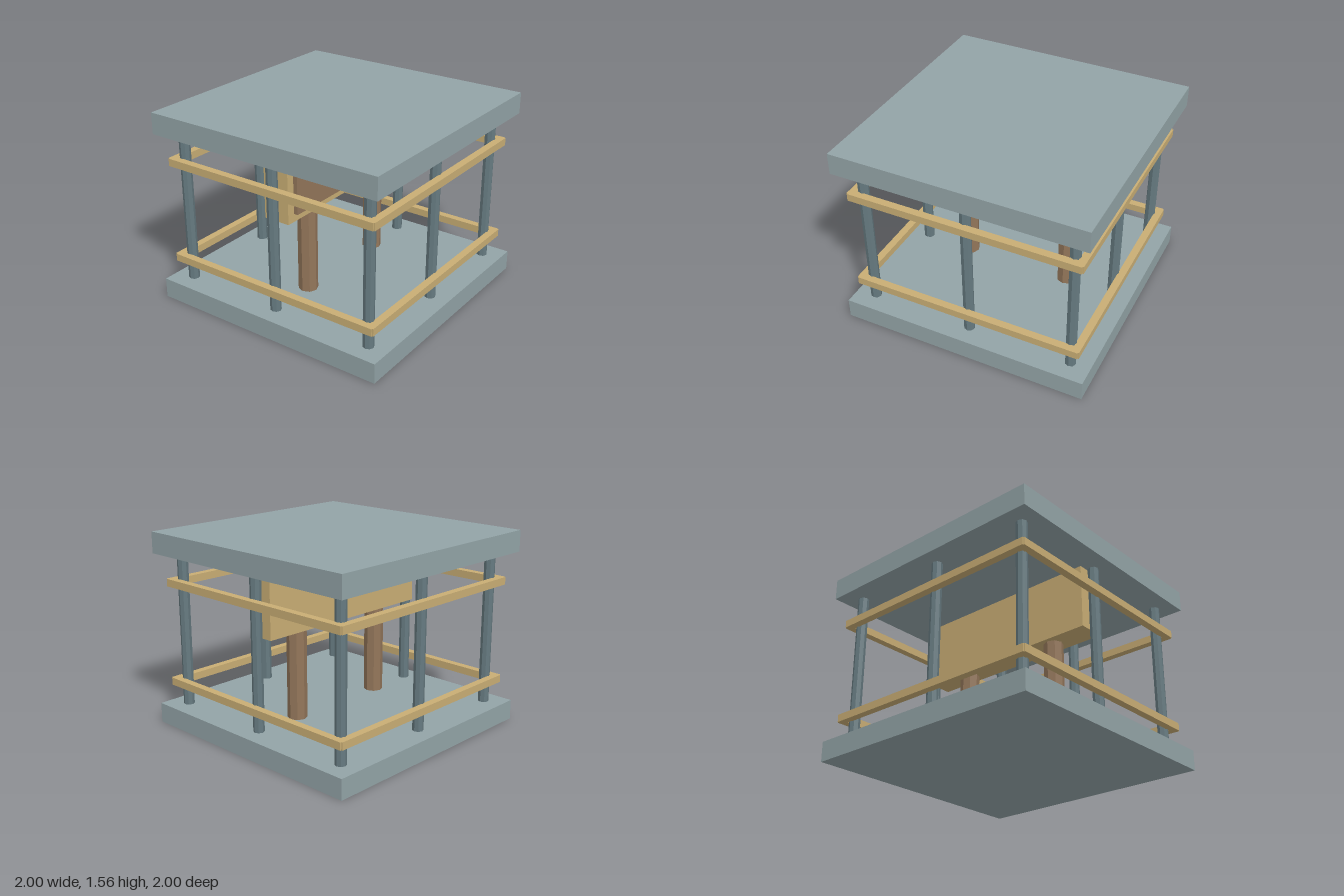
import * as THREE from 'three';

export function createModel() {
  const model = new THREE.Group();
  model.name = 'cageShelter';

  const mat = (name, color, flatShading = false) => {
    const m = new THREE.MeshStandardMaterial({ color, flatShading });
    m.name = name;
    return m;
  };
  const slabGrey = mat('slabGrey', 0x92a3a6);
  const postGrey = mat('postGrey', 0x667a80, true);
  const tan = mat('tan', 0xc8ad74);
  const brown = mat('brown', 0x93765a, true);

  const add = (name, geometry, material, x, y, z) => {
    const mesh = new THREE.Mesh(geometry, material);
    mesh.name = name;
    mesh.position.set(x, y, z);
    model.add(mesh);
  };
  // Box given by its lower and upper y
  const box = (name, material, w, d, y0, y1, x = 0, z = 0) =>
    add(name, new THREE.BoxGeometry(w, y1 - y0, d), material, x, (y0 + y1) / 2, z);
  // Eight-sided upright
  const pole = (name, material, r, y0, y1, x, z) =>
    add(name, new THREE.CylinderGeometry(r, r, y1 - y0, 8), material, x, (y0 + y1) / 2, z);

  // Floor and roof slabs
  box('floorSlab', slabGrey, 2, 2, 0, 0.16);
  box('roofSlab', slabGrey, 2, 2, 1.39, 1.56);

  // Posts around the edge, at corners and mid-sides
  for (const x of [-0.84, 0, 0.84])
    for (const z of [-0.84, 0, 0.84])
      if (x || z) pole('post', postGrey, 0.043, 0.15, 1.4, x, z);

  // Two rings of rails
  for (const y of [0.32, 1.13])
    for (const s of [-1, 1]) {
      box('crossRail', tan, 1.85, 0.06, y, y + 0.06, 0, s * 0.905);
      box('sideRail', tan, 0.06, 1.85, y, y + 0.06, s * 0.905, 0);
    }

  // Central sign board on two legs, with a panel on the front only
  box('signBoard', tan, 1.6, 0.215, 0.88, 1.4, 0, 0.002);
  box('signPanel', brown, 1.47, 0.04, 0.945, 1.4, 0, 0.124);
  for (const s of [-1, 1]) pole('signLeg', brown, 0.077, 0.15, 0.89, s * 0.44, 0);

  return model;
}
